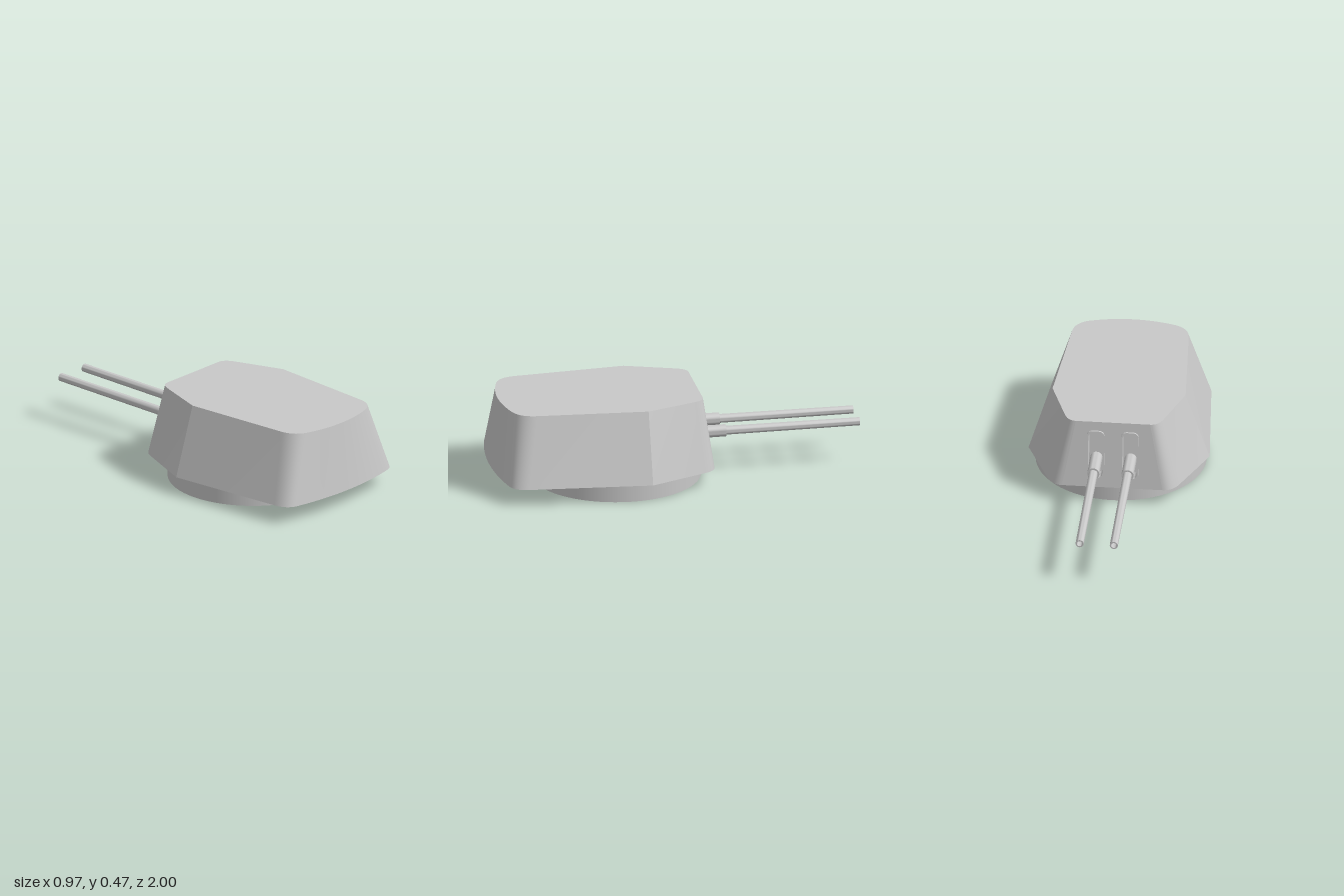
import * as THREE from 'three';
import { toCreasedNormals } from 'three/addons/utils/BufferGeometryUtils.js';

const Y0 = 0.095, Y1 = 0.47;      // bottom and top of the gunhouse
const GUN_X = 0.092, GUN_Y = 0.233;

// Outline in (x, z): half is drawn from the gun face to the stern, then mirrored
function outline(face, c1, s1, chine, r0, c2, r1, c3, stern) {
  const p = new THREE.Path();
  p.moveTo(...face);
  p.quadraticCurveTo(...c1, ...s1);
  p.lineTo(...chine);
  p.lineTo(...r0);
  p.quadraticCurveTo(...c2, ...r1);
  p.quadraticCurveTo(...c3, ...stern);
  const half = p.getPoints(10);
  const other = half.slice(0, -1).reverse().map(v => new THREE.Vector2(-v.x, v.y));
  return [...half, ...other];
}

// Sloped walls between two outlines; the gun face stays open
function walls(bottom, top) {
  const pos = [];
  for (let i = 0; i < bottom.length - 1; i++) {
    const a = bottom[i], b = bottom[i + 1], c = top[i], d = top[i + 1];
    pos.push(a.x, Y0, a.y, c.x, Y1, c.y, b.x, Y0, b.y);
    pos.push(c.x, Y1, c.y, d.x, Y1, d.y, b.x, Y0, b.y);
  }
  const g = new THREE.BufferGeometry();
  g.setAttribute('position', new THREE.Float32BufferAttribute(pos, 3));
  return toCreasedNormals(g, 0.35);
}

// Upright rounded rectangle centred on x
function slot(path, x, hw, y0, y1, r) {
  path.moveTo(x - hw + r, y0);
  path.lineTo(x + hw - r, y0);
  path.quadraticCurveTo(x + hw, y0, x + hw, y0 + r);
  path.lineTo(x + hw, y1 - r);
  path.quadraticCurveTo(x + hw, y1, x + hw - r, y1);
  path.lineTo(x - hw + r, y1);
  path.quadraticCurveTo(x - hw, y1, x - hw, y1 - r);
  path.lineTo(x - hw, y0 + r);
  path.quadraticCurveTo(x - hw, y0, x - hw + r, y0);
  return path;
}
const opening = (path, x) => slot(path, x, 0.039, 0.155, 0.41, 0.027);

export function createModel() {
  const model = new THREE.Group();
  const grey = new THREE.MeshStandardMaterial({ color: 0xc8c8c8 });
  grey.name = 'armour grey';
  const add = (name, geometry, parent = model) => {
    const m = new THREE.Mesh(geometry, grey);
    m.name = name;
    parent.add(m);
    return m;
  };

  // Turning ring
  add('baseRing', new THREE.CylinderGeometry(0.459, 0.459, Y0, 64))
    .position.set(0, Y0 / 2, 0.312);

  // Gunhouse
  const bottom = outline([0.27, -0.175], [0.325, -0.175], [0.355, -0.105], [0.487, 0.2],
    [0.43, 0.86], [0.423, 0.945], [0.355, 0.96], [0.18, 1], [0, 1]);
  const top = outline([0.2, -0.125], [0.244, -0.125], [0.265, -0.065], [0.358, 0.2],
    [0.314, 0.8], [0.308, 0.885], [0.238, 0.915], [0.12, 0.955], [0, 0.955]);
  const house = new THREE.Group();
  house.name = 'gunhouse';
  model.add(house);
  add('sideArmour', walls(bottom, top), house);
  const roof = new THREE.Shape(top.map(v => new THREE.Vector2(v.x, -v.y)));
  add('roof', new THREE.ShapeGeometry(roof).rotateX(-Math.PI / 2).translate(0, Y1, 0), house);
  add('floor', new THREE.ShapeGeometry(new THREE.Shape(bottom))
    .rotateX(Math.PI / 2).translate(0, Y0, 0), house);

  // Maps flat drawings (x, y, outward) onto the sloped gun face
  const slope = 0.05 / (Y1 - Y0);
  const onFace = new THREE.Matrix4().set(
    -1, 0, 0, 0,
    0, 1, 0, 0,
    0, slope, -1, -0.175 - slope * Y0,
    0, 0, 0, 1);
  const plate = new THREE.Shape([[-0.27, Y0], [0.27, Y0], [0.2, Y1], [-0.2, Y1]]
    .map(p => new THREE.Vector2(...p)));
  for (const s of [-1, 1]) plate.holes.push(opening(new THREE.Path(), s * GUN_X));
  add('gunFace', new THREE.ShapeGeometry(plate).applyMatrix4(onFace), house);

  for (const s of [-1, 1]) {
    const x = s * GUN_X;
    const gun = new THREE.Group();
    gun.name = s > 0 ? 'leftGun' : 'rightGun';
    model.add(gun);

    // Raised frame whose inner wall lines the gun port
    const rim = slot(new THREE.Shape(), x, 0.048, 0.145, 0.42, 0.035);
    rim.holes.push(opening(new THREE.Path(), x));
    add('portFrame', new THREE.ExtrudeGeometry(rim, { depth: 0.07, bevelEnabled: false })
      .translate(0, 0, -0.06).applyMatrix4(onFace), gun);
    add('portBack', new THREE.ShapeGeometry(opening(new THREE.Shape(), x))
      .translate(0, 0, -0.058).applyMatrix4(onFace), gun);

    // Sleeve and hollow barrel, turned about the bore
    const turned = (name, profile) => {
      const g = new THREE.LatheGeometry(profile.map(p => new THREE.Vector2(...p)), 24);
      add(name, toCreasedNormals(g, 0.6).rotateX(-Math.PI / 2).translate(x, GUN_Y, 0), gun);
    };
    turned('sleeve', [[0.033, 0.08], [0.033, 0.27], [0.02, 0.27]]);
    turned('barrel', [[0.024, 0.26], [0.022, 1], [0.015, 1], [0.015, 0.88], [0, 0.88]]);
  }
  return model;
}
